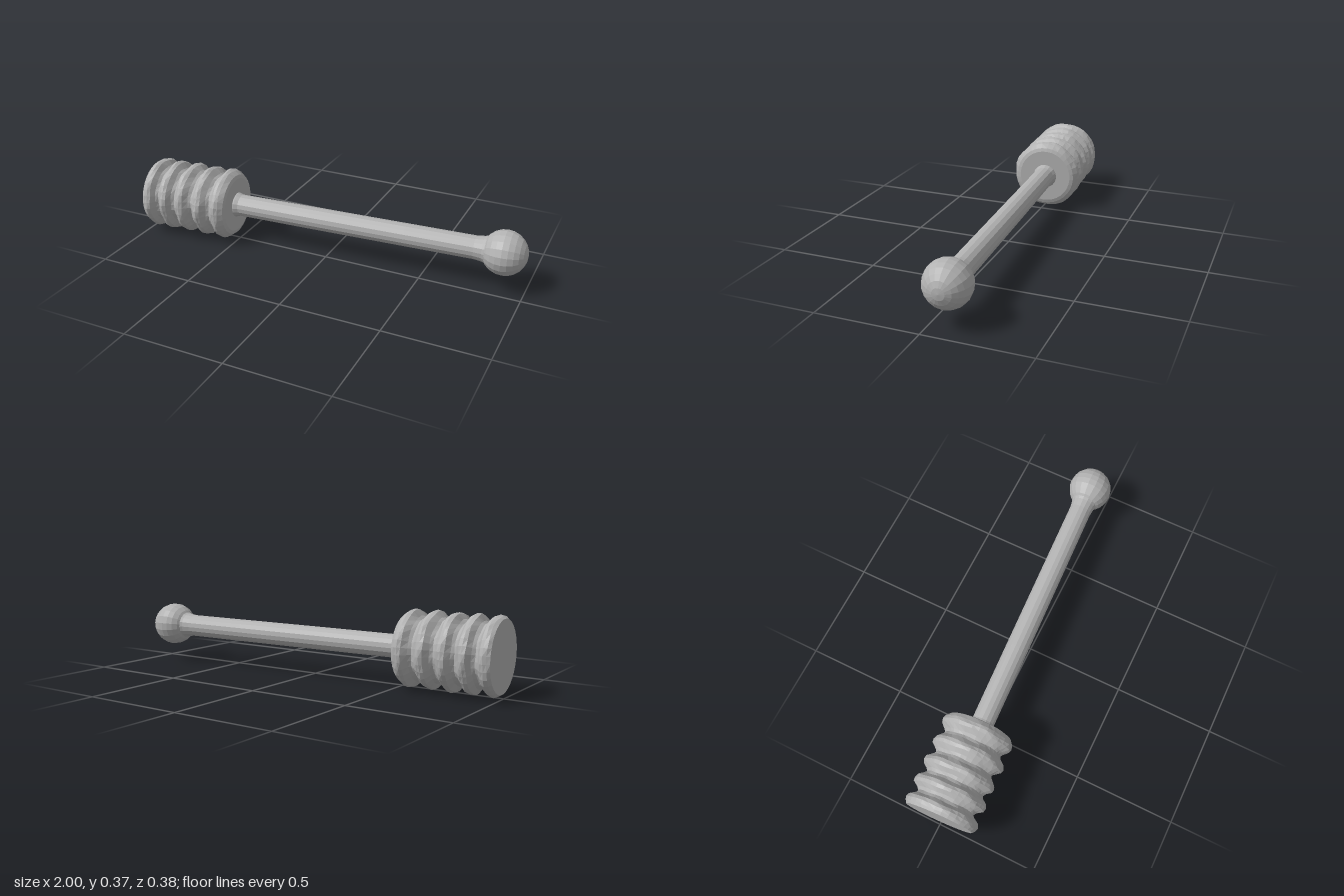
import * as THREE from 'three';

// Faceted copy of a geometry
function facet(geometry) {
  const g = geometry.toNonIndexed();
  g.computeVertexNormals();
  return g;
}

const lathe = (pts, sides) =>
  new THREE.LatheGeometry(pts.map(([r, y]) => new THREE.Vector2(r, y)), sides);

// Slight hand-carved unevenness, periodic around the axis
function carve(geometry, amount, top) {
  const p = geometry.attributes.position;
  for (let i = 0; i < p.count; i++) {
    const x = p.getX(i), y = p.getY(i), z = p.getZ(i);
    const r = Math.hypot(x, z);
    if (r < 0.12 || y < 0.001 || y > top) continue;
    const a = Math.atan2(z, x);
    const wave = Math.sin(5 * a + 40 * y) + Math.sin(8 * a - 90 * y);
    const k = 1 + amount * wave / r;
    p.setXYZ(i, x * k, y + amount * Math.sin(7 * a + 60 * y), z * k);
  }
  return geometry;
}

export function createModel() {
  const model = new THREE.Group();
  model.name = 'honeyDipper';
  const grey = new THREE.MeshStandardMaterial({ color: 0xb2b2b2 });

  // The dipper is built along y, then laid down slightly askew
  const dipper = new THREE.Group();
  dipper.name = 'dipper';
  const add = (name, geometry) => {
    const mesh = new THREE.Mesh(facet(geometry), grey);
    mesh.name = name;
    dipper.add(mesh);
    return mesh;
  };

  // Ridged head: five rounded discs with grooves between
  const peaks = [0.03, 0.125, 0.222, 0.325, 0.43];
  const profile = [[0, 0], [0.168, 0]];
  peaks.forEach((y, i) => {
    profile.push([0.178, y - 0.016], [0.182, y], [0.176, y + 0.016]);
    if (i < peaks.length - 1) {
      const mid = (y + peaks[i + 1]) / 2;
      profile.push([0.151, mid - 0.014], [0.142, mid], [0.152, mid + 0.014]);
    }
  });
  profile.push([0.158, 0.468], [0.14, 0.474], [0, 0.474]);
  add('head', carve(lathe(profile, 32), 0.0018, 0.467));

  // Handle with a small collar at the head and a flare at the knob
  add('handle', lathe([
    [0.066, 0.465], [0.063, 0.48], [0.056, 0.5], [0.057, 0.9],
    [0.057, 1.4], [0.057, 1.74], [0.062, 1.78], [0.072, 1.81],
  ], 16));

  // Round knob at the far end
  add('knob', new THREE.SphereGeometry(0.11, 18, 12)).position.y = 1.88;

  const axis = new THREE.Vector3(1.88, 0.01, -0.092).normalize();
  dipper.quaternion.setFromUnitVectors(new THREE.Vector3(0, 1, 0), axis);
  dipper.position.set(-0.99, 0.186, 0.01);
  model.add(dipper);
  return model;
}
